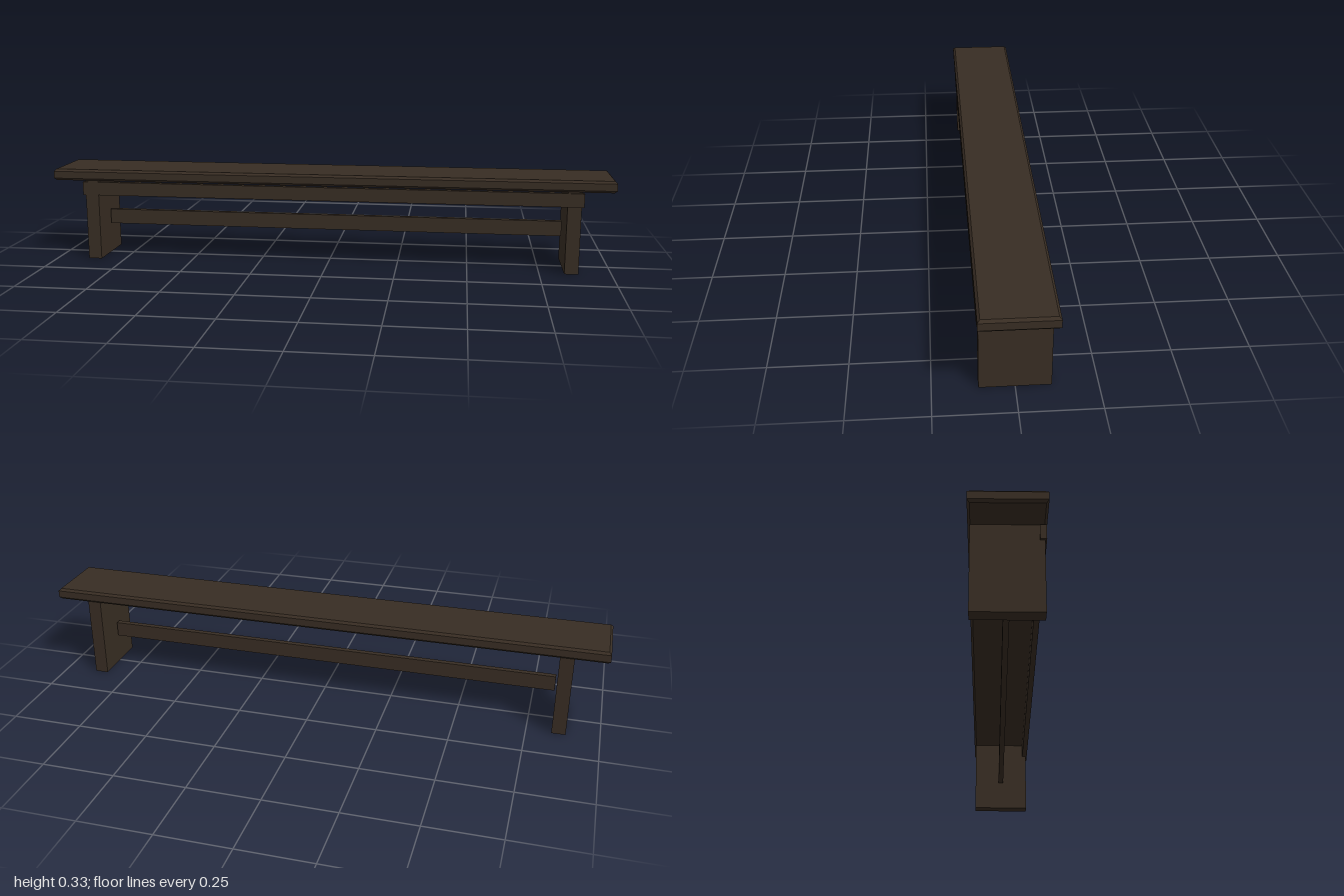
import * as THREE from 'three';

export function createModel() {
  const group = new THREE.Group();
  const wood = new THREE.MeshStandardMaterial({ color: 0x382d23 });
  wood.name = 'darkWood';

  const add = (name, geometry, x, y, z) => {
    const mesh = new THREE.Mesh(geometry, wood);
    mesh.name = name;
    mesh.position.set(x, y, z);
    group.add(mesh);
  };

  // Seat plank with chamfered top and bottom edges
  const bevel = 0.008, halfX = 1 - bevel, halfZ = 0.117 - bevel, bottom = 0.291, top = 0.332;
  const outline = new THREE.Shape([
    new THREE.Vector2(-halfX, -halfZ), new THREE.Vector2(halfX, -halfZ),
    new THREE.Vector2(halfX, halfZ), new THREE.Vector2(-halfX, halfZ),
  ]);
  const seat = new THREE.ExtrudeGeometry(outline, {
    depth: top - bottom - 2 * bevel, bevelEnabled: true,
    bevelSize: bevel, bevelThickness: bevel, bevelSegments: 1,
  });
  seat.rotateX(-Math.PI / 2);
  add('seat', seat, 0, bottom + bevel, 0);

  // Solid panel legs
  for (const [name, side] of [['leftLeg', 1], ['rightLeg', -1]]) {
    add(name, new THREE.BoxGeometry(0.048, 0.292, 0.22), side * 0.861, 0.146, 0);
  }

  // Front apron under the seat and the central stretcher between the legs
  add('frontApron', new THREE.BoxGeometry(1.786, 0.048, 0.02), 0, 0.263, 0.105);
  add('stretcher', new THREE.BoxGeometry(1.66, 0.054, 0.02), 0, 0.139, 0);

  return group;
}
